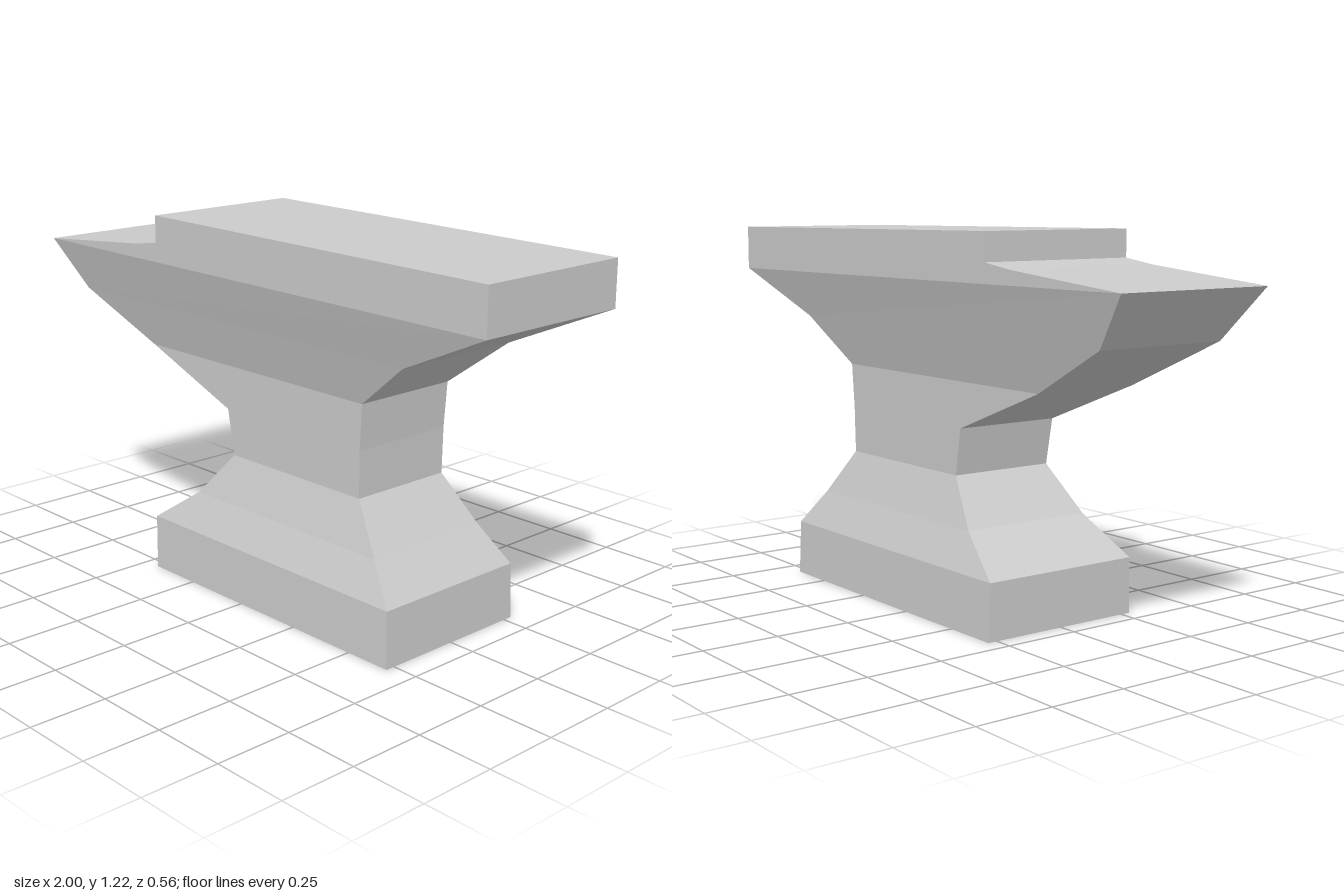
import * as THREE from 'three';

const HALF = 0.277; // half depth of the working top

// Flat-shaded mesh from quads whose corners run counter-clockwise from outside
function quadMesh(name, quads) {
  const points = quads.flatMap(([a, b, c, d]) => [a, b, c, a, c, d]).flat();
  const geometry = new THREE.BufferGeometry();
  geometry.setAttribute('position', new THREE.Float32BufferAttribute(points, 3));
  geometry.computeVertexNormals();
  const mesh = new THREE.Mesh(geometry,
    new THREE.MeshStandardMaterial({ color: 0xcccccc, flatShading: true }));
  mesh.name = name;
  return mesh;
}

// Rectangular cross-section: left and right ends may sit at different heights
const ring = ([y, x0, x1, h, y0 = y]) =>
  [[x0, y0, h], [x1, y, h], [x1, y, -h], [x0, y0, -h]];

// Walls joining stacked cross-sections
function stack(sections) {
  const rings = sections.map(ring);
  const quads = [];
  for (let k = 0; k < rings.length - 1; k++) {
    for (let i = 0; i < 4; i++) {
      const j = (i + 1) % 4;
      quads.push([rings[k][i], rings[k][j], rings[k + 1][j], rings[k + 1][i]]);
    }
  }
  return quads;
}

// Top surface and both side walls under a line of [x, y] points
const seamY = x => 1.065 - 0.005 * x;
function topRun(line) {
  const quads = [];
  for (let k = 0; k < line.length - 1; k++) {
    const [xa, ya] = line[k], [xb, yb] = line[k + 1];
    const sa = seamY(xa), sb = seamY(xb);
    quads.push([[xa, ya, HALF], [xb, yb, HALF], [xb, yb, -HALF], [xa, ya, -HALF]]);
    quads.push([[xa, sa, HALF], [xb, sb, HALF], [xb, yb, HALF], [xa, ya, HALF]]);
    quads.push([[xb, sb, -HALF], [xa, sa, -HALF], [xa, ya, -HALF], [xb, yb, -HALF]]);
  }
  return quads;
}

export function createModel() {
  const group = new THREE.Group();
  group.name = 'anvil';

  // Section rows: height, left x, right x, half depth, optional left height
  const foot = [0, -0.44, 0.662, 0.282];
  const footTop = [0.183, -0.443, 0.656, 0.278];
  const waistLow = [0.453, -0.14, 0.44, 0.183];
  const waistHigh = [0.753, -0.55, 0.452, 0.187];

  // Foot block with its underside, and the slope up to the waist
  group.add(quadMesh('foot', [...stack([foot, footTop]), ring(foot).reverse()]));
  group.add(quadMesh('footSlope', stack([footTop, [0.303, -0.27, 0.553, 0.23], waistLow])));

  // Narrow waist
  group.add(quadMesh('waist', stack([waistLow, [0.605, -0.167, 0.442, 0.185], waistHigh])));

  // Flared body carrying the horn and the heel
  group.add(quadMesh('body', stack([
    waistHigh, [0.907, -0.865, 0.655, 0.23], [1.06, -1, 1, HALF, 1.07]])));

  // Horn on the right side of the model, rising to the step
  group.add(quadMesh('horn', topRun([[-1, 1.07], [-0.53, 1.113], [-0.41, 1.13]])));

  // Raised face with its step and heel end
  const face = topRun([[-0.41, 1.22], [1, 1.208]]);
  face.push([[-0.41, 1.13, -HALF], [-0.41, 1.13, HALF], [-0.41, 1.22, HALF], [-0.41, 1.22, -HALF]]);
  face.push([[1, 1.06, HALF], [1, 1.06, -HALF], [1, 1.208, -HALF], [1, 1.208, HALF]]);
  group.add(quadMesh('face', face));

  return group;
}
